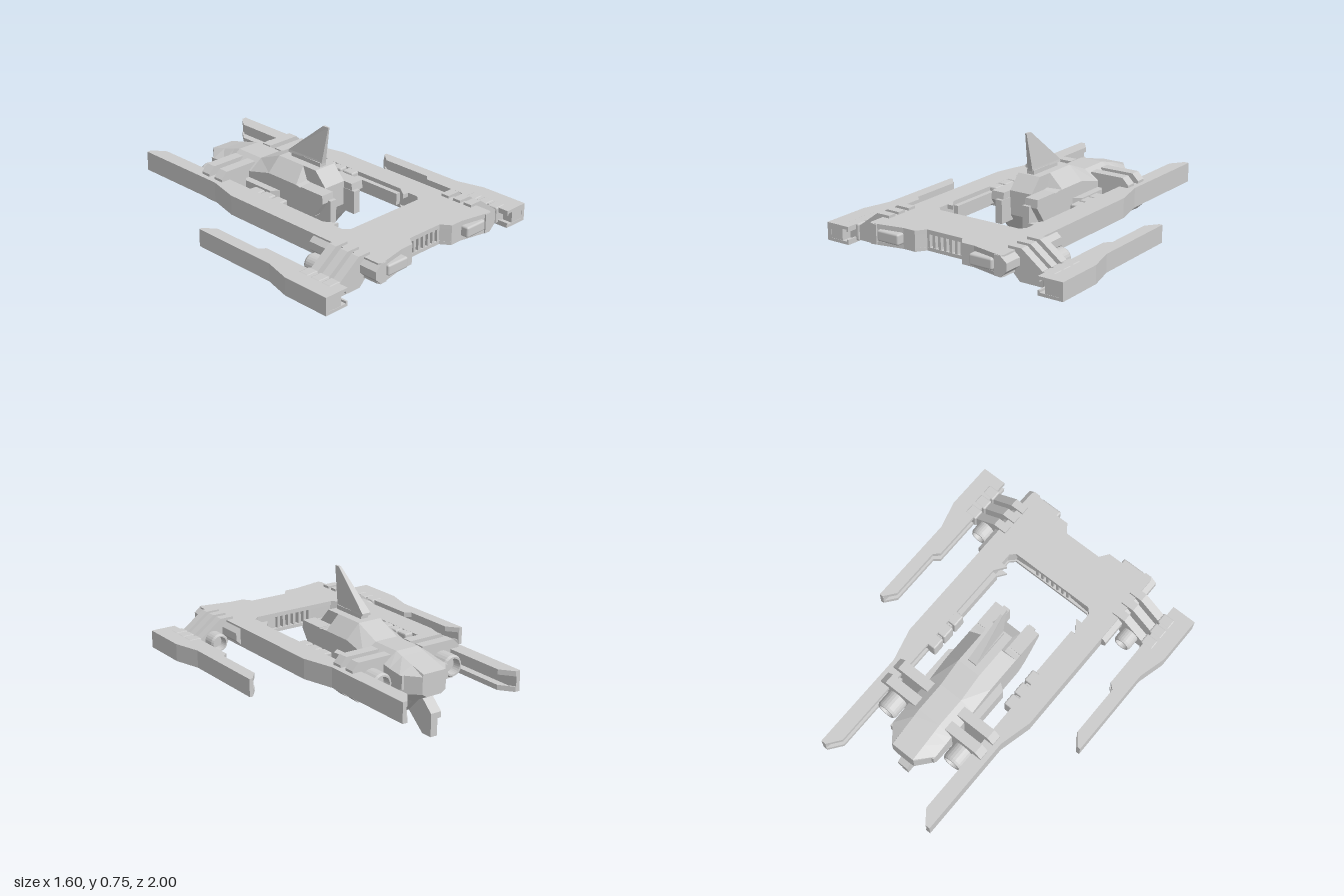
import * as THREE from 'three';
import { RoundedBoxGeometry } from 'three/addons/geometries/RoundedBoxGeometry.js';

const grey = new THREE.MeshStandardMaterial({ color: 0xcccccc, flatShading: true });
const smooth = new THREE.MeshStandardMaterial({ color: 0xcccccc, side: THREE.DoubleSide });

function add(parent, name, geo, mat = grey) {
  const m = new THREE.Mesh(geo, mat);
  m.name = name;
  parent.add(m);
  return m;
}

function box(x0, x1, y0, y1, z0, z1) {
  return new THREE.BoxGeometry(Math.abs(x1 - x0), y1 - y0, z1 - z0)
    .translate((x0 + x1) / 2, (y0 + y1) / 2, (z0 + z1) / 2);
}

const extrude = (pts, depth) => new THREE.ExtrudeGeometry(
  new THREE.Shape(pts.map(p => new THREE.Vector2(p[0], p[1]))), { depth, bevelEnabled: false });
const flip = (pts, s) => pts.map(([x, y]) => [x * s, y]);

// plan outline (x, z) raised from y0 to y1
const plan = (pts, y0, y1) => extrude(pts, y1 - y0).rotateX(Math.PI / 2).translate(0, y1, 0);
// front outline (x, y) from z0 to z1
const front = (pts, z0, z1) => extrude(pts, z1 - z0).translate(0, 0, z0);
// side outline (z, y), centred on x
const side = (pts, width) => extrude(pts, width).rotateY(-Math.PI / 2).translate(width / 2, 0, 0);

// skin over rings of equal point count, counterclockwise seen from +z, ordered by rising z
function loft(rings) {
  const n = rings[0].length, pos = rings.flat(2), idx = [];
  for (let i = 0; i < rings.length - 1; i++) for (let j = 0; j < n; j++) {
    const a = i * n + j, b = i * n + (j + 1) % n;
    idx.push(a, b, b + n, a, b + n, a + n);
  }
  const e = (rings.length - 1) * n;
  for (let j = 1; j < n - 1; j++) idx.push(0, j + 1, j, e, e + j, e + j + 1);
  const g = new THREE.BufferGeometry();
  g.setAttribute('position', new THREE.Float32BufferAttribute(pos, 3));
  g.setIndex(idx);
  const flat = g.toNonIndexed();
  flat.computeVertexNormals();
  return flat;
}

// C-shaped rail, open toward the centre line
function channel(parent, name, outer, inner, y0, y1, s) {
  const g = new THREE.Group();
  g.name = name;
  parent.add(g);
  const strip = (a, b) => flip([...a, ...[...b].reverse()], s);
  const inset = (pts, d) => pts.map(([x, z]) => [x + d, z]);
  const t = 0.018;
  add(g, 'topFlange', plan(strip(outer, inner), y1 - t, y1));
  add(g, 'bottomFlange', plan(strip(outer, inner), y0, y0 + t));
  add(g, 'outerWall', plan(strip(outer, inset(outer, -0.025)), y0 + t, y1 - t));
  const lip = strip(inner, inset(inner, 0.012));
  add(g, 'upperLip', plan(lip, y1 - t - 0.012, y1 - t));
  add(g, 'lowerLip', plan(lip, y0 + t, y0 + t + 0.012));
}

// hollow thruster with its mouth toward -z
function thruster(parent, name, x, y, r, z0, z1) {
  const p = [[0, z1], [r, z1], [r, z0 + 0.015], [r - 0.008, z0], [r * 0.72, z0], [r * 0.65, z0 + 0.05], [0, z0 + 0.05]];
  const g = new THREE.LatheGeometry(p.map(q => new THREE.Vector2(q[0], q[1])), 24);
  add(parent, name, g.rotateX(Math.PI / 2).translate(x, y, 0),
    new THREE.MeshStandardMaterial({ color: 0xcccccc, flatShading: true, side: THREE.DoubleSide }));
}

function buildFuselage(parent) {
  const g = new THREE.Group();
  g.name = 'fuselage';
  parent.add(g);
  // z, top width, top y, side width, shoulder y, lower side y, bottom width, bottom y
  const hull = [
    [-0.76, 0.075, 0.375, 0.08, 0.36, 0.26, 0.05, 0.24],
    [-0.66, 0.075, 0.40, 0.16, 0.36, 0.25, 0.07, 0.19],
    [-0.57, 0.075, 0.425, 0.16, 0.37, 0.23, 0.06, 0.10],
    [-0.52, 0.075, 0.44, 0.16, 0.38, 0.22, 0.07, 0.10],
    [-0.42, 0.075, 0.44, 0.16, 0.38, 0.21, 0.09, 0.10],
    [-0.33, 0.075, 0.44, 0.16, 0.38, 0.20, 0.11, 0.15],
    [-0.17, 0.075, 0.505, 0.16, 0.42, 0.19, 0.13, 0.15],
    [-0.08, 0.075, 0.505, 0.16, 0.42, 0.15, 0.13, 0.10],
    [0.03, 0.075, 0.505, 0.16, 0.42, 0.15, 0.13, 0.10],
    [0.06, 0.075, 0.425, 0.16, 0.42, 0.15, 0.13, 0.10],
    [0.09, 0.075, 0.42, 0.16, 0.415, 0.15, 0.13, 0.10],
    [0.15, 0.075, 0.42, 0.16, 0.415, 0.20, 0.15, 0.185],
    [0.21, 0.075, 0.42, 0.16, 0.415, 0.28, 0.155, 0.275]];
  add(g, 'hull', loft(hull.map(([z, tw, ty, sw, sy, ly, bw, by]) =>
    [[tw, ty], [-tw, ty], [-sw, sy], [-sw, ly], [-bw, by], [bw, by], [sw, ly], [sw, sy]]
      .map(([x, y]) => [x, y, z]))));
  add(g, 'canopy', side([[-0.1, 0.505], [0.13, 0.505], [0.21, 0.42], [0.21, 0.38], [-0.1, 0.38]], 0.15));
  // raised tail fin, narrowing upward
  const rows = [[-0.14, 0.12, 0.525, 0.03], [-0.14, 0.122, 0.54, 0.028], [0.12, 0.16, 0.755, 0.008]];
  const fin = loft(rows.map(([z0, z1, y, w]) => [[-w, y, z0], [-w * 0.6, y, z1], [w * 0.6, y, z1], [w, y, z0]]));
  add(g, 'dorsalFin', fin);
  add(g, 'finBase', box(-0.025, 0.025, 0.49, 0.53, -0.12, 0.115));
  // lower rudder and its joint
  add(g, 'ventralFin', side([[-0.57, 0.1], [-0.69, 0], [-0.765, 0], [-0.765, 0.13], [-0.68, 0.25], [-0.57, 0.25]], 0.045));
  add(g, 'rudderJoint', side([[-0.67, 0.24], [-0.72, 0.2], [-0.78, 0.145], [-0.78, 0.11], [-0.69, 0.11]], 0.07));
  for (const s of [1, -1]) {
    // nose prong and its rail
    const prong = side([[0.1, 0.42], [0.27, 0.42], [0.275, 0.37], [0.19, 0.25], [0.1, 0.25]], 0.085);
    add(g, 'nosePronge'.slice(0, 9), prong.translate(s * 0.1175, 0, 0));
    add(g, 'noseRail', box(s * 0.072, s * 0.117, 0.24, 0.38, 0.15, 0.295));
    add(g, 'cheek', plan(flip([[0.15, -0.38], [0.205, -0.32], [0.205, -0.11], [0.15, -0.07]], s), 0.22, 0.34));
    add(g, 'rearBlock', box(s * 0.1, s * 0.16, 0.28, 0.36, -0.68, -0.6));
  }
}

function buildFrame(parent) {
  const g = new THREE.Group();
  g.name = 'frame';
  parent.add(g);
  // front bridge: two plates over an inset core, with a grille between
  const edge = [[0.45, 0.42], [0.45, 0.97], [0.44, 0.99], [0.24, 0.95], [0.16, 0.95], [0.12, 0.895]];
  const hole = [[0.27, 0.6], [0.3, 0.57], [0.3, 0.5], [0.26, 0.5], [0.31, 0.43]];
  const outline = [...edge, ...flip([...edge].reverse(), -1), ...flip([...hole].reverse(), -1), ...hole];
  add(g, 'topPlate', plan(outline, 0.345, 0.37));
  add(g, 'bottomPlate', plan(outline, 0.25, 0.27));
  add(g, 'core', box(-0.3, 0.3, 0.27, 0.345, 0.65, 0.85));
  for (let i = -3; i <= 3; i++)
    add(g, 'grilleSlat', box(i * 0.038 - 0.009, i * 0.038 + 0.009, 0.26, 0.362, 0.606, 0.893));
  for (const s of [1, -1]) {
    add(g, 'bridgeEnd', plan(flip([[0.45, 0.42], [0.45, 0.97], [0.43, 0.985], [0.24, 0.95], [0.16, 0.95],
      [0.12, 0.89], [0.13, 0.62], [0.27, 0.61], [0.31, 0.57], [0.31, 0.43]], s), 0.27, 0.345));
    add(g, 'sideBumper', front(flip([[0.4, 0.368], [0.44, 0.368], [0.48, 0.335], [0.48, 0.29], [0.44, 0.252], [0.4, 0.252]], s), 0.5, 0.99));
    const lamp = new RoundedBoxGeometry(0.15, 0.065, 0.08, 2, 0.012);
    add(g, 'lamp', lamp.translate(s * 0.315, 0.31, 0.957), smooth);
    add(g, 'innerShelf', box(s * 0.28, s * 0.36, 0.275, 0.345, 0.11, 0.43));
    channel(g, 'mainRail', [[0.40, -1], [0.40, -0.37], [0.45, -0.17], [0.45, 0.44]],
      [[0.37, -1], [0.31, -0.92], [0.31, -0.17], [0.31, 0.44]], 0.25, 0.37, s);
    for (const z of [-0.13, -0.04, 0.055]) {
      const block = new RoundedBoxGeometry(0.09, 0.115, 0.08, 1, 0.008);
      add(g, 'railBlock', block.translate(s * 0.305, 0.312, z));
    }
    add(g, 'blockBacking', box(s * 0.28, s * 0.34, 0.275, 0.345, -0.17, 0.12));
    // straps tying the rail to the fuselage
    const strap = [[0.11, 0.425], [0.33, 0.425], [0.37, 0.385], [0.37, 0.23], [0.33, 0.195], [0.11, 0.195]];
    for (const z of [-0.485, -0.375]) add(g, 'railStrap', front(flip(strap, s), z - 0.032, z + 0.032));
    thruster(g, 'mainThruster', s * 0.245, 0.31, 0.065, -0.625, -0.5);
  }
}

function buildPod(parent, s) {
  const g = new THREE.Group();
  g.name = s > 0 ? 'leftPod' : 'rightPod';
  parent.add(g);
  channel(g, 'podRail', [[0.755, -0.09], [0.755, 0.48], [0.8, 0.65], [0.8, 0.95]],
    [[0.735, -0.09], [0.68, -0.02], [0.68, 0.31], [0.645, 0.34], [0.645, 0.95]], 0.187, 0.293, s);
  add(g, 'podFront', box(s * 0.69, s * 0.79, 0.2, 0.28, 0.62, 0.948));
  // bent arms linking the pod to the frame
  const arm = [[0.405, 0.385], [0.49, 0.385], [0.63, 0.282], [0.7, 0.282], [0.7, 0.2], [0.48, 0.2], [0.43, 0.25], [0.405, 0.25]];
  for (const z of [0.685, 0.77, 0.85]) {
    add(g, 'podArm', front(flip(arm, s), z - 0.026, z + 0.026));
    const block = new RoundedBoxGeometry(0.08, 0.1, 0.07, 1, 0.008);
    add(g, 'armBlock', block.translate(s * 0.667, 0.245, z));
  }
  thruster(g, 'podThruster', s * 0.545, 0.265, 0.055, 0.575, 0.67);
}

export function createModel() {
  const model = new THREE.Group();
  model.name = 'spacecraft';
  buildFuselage(model);
  buildFrame(model);
  for (const s of [1, -1]) buildPod(model, s);
  return model;
}
